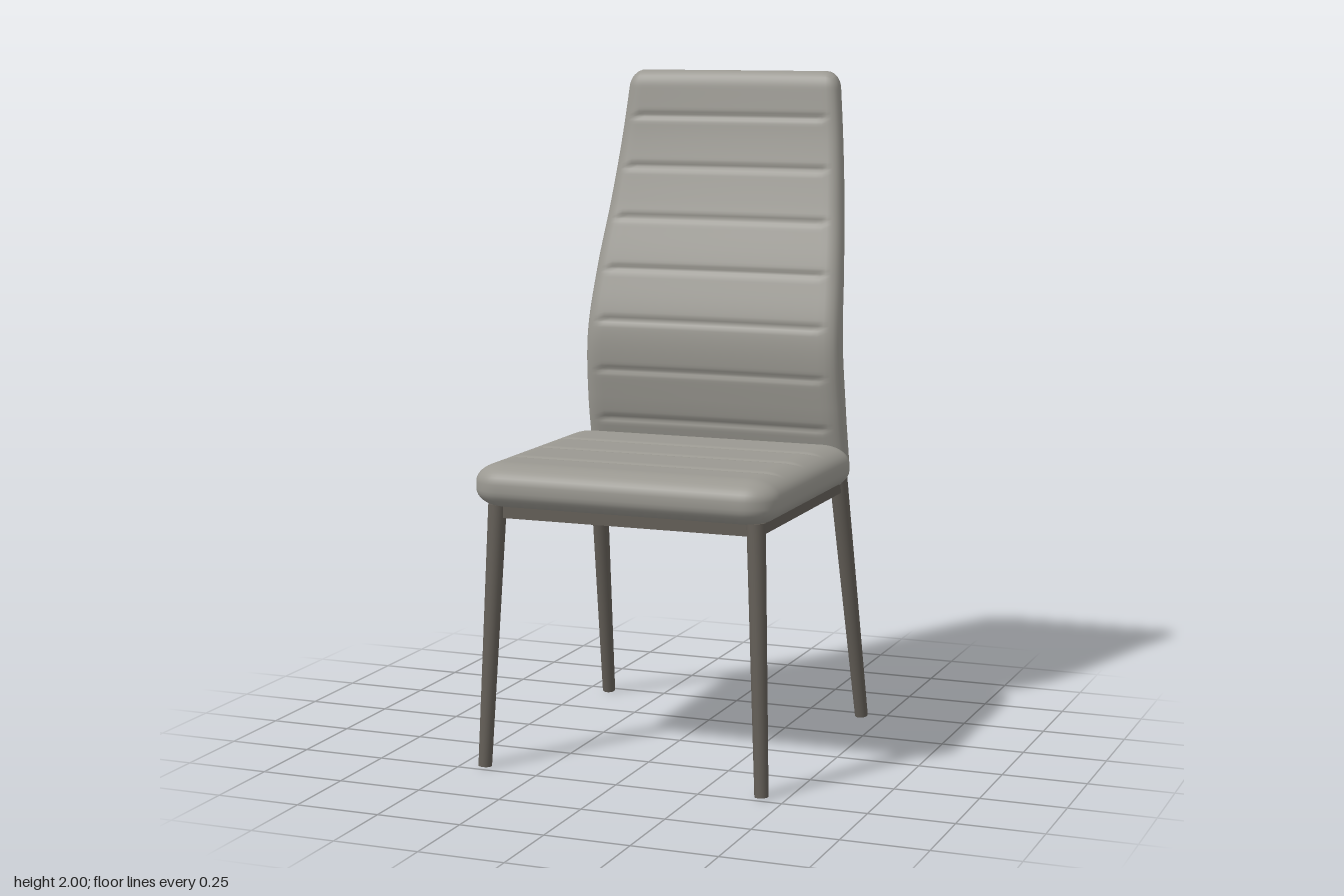
import * as THREE from 'three';
import { mergeVertices } from 'three/addons/utils/BufferGeometryUtils.js';

const upholstery = new THREE.MeshStandardMaterial({ name: 'upholstery', color: 0x9a9891 });
const legMetal = new THREE.MeshStandardMaterial({ name: 'legMetal', color: 0x635e57 });
const underside = new THREE.MeshStandardMaterial({ name: 'underside', color: 0x383634 });

function addMesh(parent, name, geometry, material) {
  const mesh = new THREE.Mesh(geometry, material);
  mesh.name = name;
  parent.add(mesh);
  return mesh;
}

// Finely divided box whose vertices are moved by a rule, with smooth normals
function softBox(size, segments, rule) {
  const box = new THREE.BoxGeometry(...size, ...segments);
  box.deleteAttribute('uv');
  box.deleteAttribute('normal');
  const geometry = mergeVertices(box);
  const position = geometry.attributes.position;
  const p = new THREE.Vector3();
  for (let i = 0; i < position.count; i++) {
    rule(p.fromBufferAttribute(position, i));
    position.setXYZ(i, p.x, p.y, p.z);
  }
  geometry.computeVertexNormals();
  return geometry;
}

// Rounds the edges of a box with a separate radius along each axis
function roundEdges(p, half, radius, roundBottom = true) {
  const inner = p.clone().clamp(half.clone().sub(radius).negate(), half.clone().sub(radius));
  if (!roundBottom && p.y < inner.y) inner.y = p.y;
  const d = p.clone().sub(inner).divide(radius);
  const cube = Math.max(Math.abs(d.x), Math.abs(d.y), Math.abs(d.z));
  if (cube > 0) p.copy(inner).add(d.setLength(cube).multiply(radius));
}

// Depth of stitched seams at coordinate v, fading towards the ends of each seam
function seamDepth(v, seams, across, reach) {
  const fade = 1 - THREE.MathUtils.smoothstep(Math.abs(across), reach - 0.05, reach);
  return fade * seams.reduce((sum, s) => sum + 0.007 * Math.exp(-(((v - s) / 0.009) ** 2)), 0);
}

function seatGeometry() {
  const half = new THREE.Vector3(0.463, 0.065, 0.392);
  const radius = new THREE.Vector3(0.09, 0.055, 0.09);
  const seams = [-0.045, 0.13, 0.31];
  return softBox([0.926, 0.13, 0.784], [60, 12, 110], (p) => {
    const onTop = p.y > 0.064;
    roundEdges(p, half, radius);
    p.y += 0.832;
    p.z += 0.108;
    if (onTop) p.y -= seamDepth(p.z, seams, p.x, 0.43);
  });
}

function backrestGeometry() {
  // Front z, back z and half width at equal steps from y = 0.8 to y = 2
  const profile = new THREE.CatmullRomCurve3([
    [-0.30, -0.375, 0.42], [-0.25, -0.345, 0.417], [-0.232, -0.334, 0.41],
    [-0.283, -0.378, 0.397], [-0.348, -0.437, 0.377], [-0.398, -0.477, 0.357],
    [-0.427, -0.504, 0.337],
  ].map((v) => new THREE.Vector3(...v)), false, 'catmullrom', 0.5);
  const half = new THREE.Vector3(0.42, 0.6, 0.05);
  const radius = new THREE.Vector3(0.05, 0.05, 0.042);
  const seams = [0.93, 1.085, 1.24, 1.395, 1.55, 1.705, 1.86];
  return softBox([0.84, 1.2, 0.1], [40, 150, 8], (p) => {
    const onFront = p.z > 0.049;
    roundEdges(p, half, radius, false);
    const y = p.y + 1.4;
    const s = profile.getPoint(THREE.MathUtils.clamp((y - 0.8) / 1.2, 0, 1));
    const u = p.x / half.x;
    const forward = (p.z + half.z) / (2 * half.z);
    p.set(u * s.z, y, THREE.MathUtils.lerp(s.y, s.x, forward));
    // Shallow hollow for the sitter's back
    p.z -= 0.012 * forward * (1 - u * u);
    if (onFront) p.z -= seamDepth(y, seams, u, 0.9);
  });
}

// Tapered round leg between a foot point and a top point
function addLeg(parent, name, foot, top) {
  const a = new THREE.Vector3(...foot);
  const direction = new THREE.Vector3(...top).sub(a);
  const length = direction.length();
  const geometry = new THREE.CylinderGeometry(0.027, 0.02, length, 20);
  geometry.translate(0, length / 2, 0);
  const leg = addMesh(parent, name, geometry, legMetal);
  leg.position.copy(a);
  leg.quaternion.setFromUnitVectors(new THREE.Vector3(0, 1, 0), direction.normalize());
}

function addBox(parent, name, size, at, material) {
  addMesh(parent, name, new THREE.BoxGeometry(...size), material).position.set(...at);
}

export function createModel() {
  const chair = new THREE.Group();
  chair.name = 'diningChair';

  addMesh(chair, 'seat', seatGeometry(), upholstery);
  addMesh(chair, 'backrest', backrestGeometry(), upholstery);

  // Covered crossbar joining the seat and the backrest
  const bar = softBox([0.83, 0.045, 0.09], [24, 6, 8], (p) => {
    roundEdges(p, new THREE.Vector3(0.415, 0.0225, 0.045), new THREE.Vector3(0.02, 0.018, 0.02));
    p.y += 0.782;
    p.z -= 0.3;
  });
  addMesh(chair, 'rearCrossbar', bar, upholstery);

  // Frame and panel below the seat
  const frame = new THREE.Group();
  frame.name = 'frame';
  chair.add(frame);
  addBox(frame, 'frontRail', [0.8, 0.035, 0.035], [0, 0.755, 0.425], legMetal);
  addBox(frame, 'rearRail', [0.8, 0.035, 0.035], [0, 0.755, -0.29], legMetal);
  addBox(frame, 'undersidePanel', [0.76, 0.02, 0.70], [0, 0.76, 0.068], underside);

  // Mirrored rails and legs
  for (const [side, x] of [['left', 1], ['right', -1]]) {
    addBox(frame, side + 'Rail', [0.035, 0.035, 0.72], [x * 0.392, 0.755, 0.068], legMetal);
    addLeg(chair, side + 'FrontLeg', [x * 0.428, 0.002, 0.465], [x * 0.396, 0.775, 0.43]);
    addLeg(chair, side + 'BackLeg', [x * 0.428, 0.004, -0.465], [x * 0.396, 0.785, -0.308]);
  }
  return chair;
}
